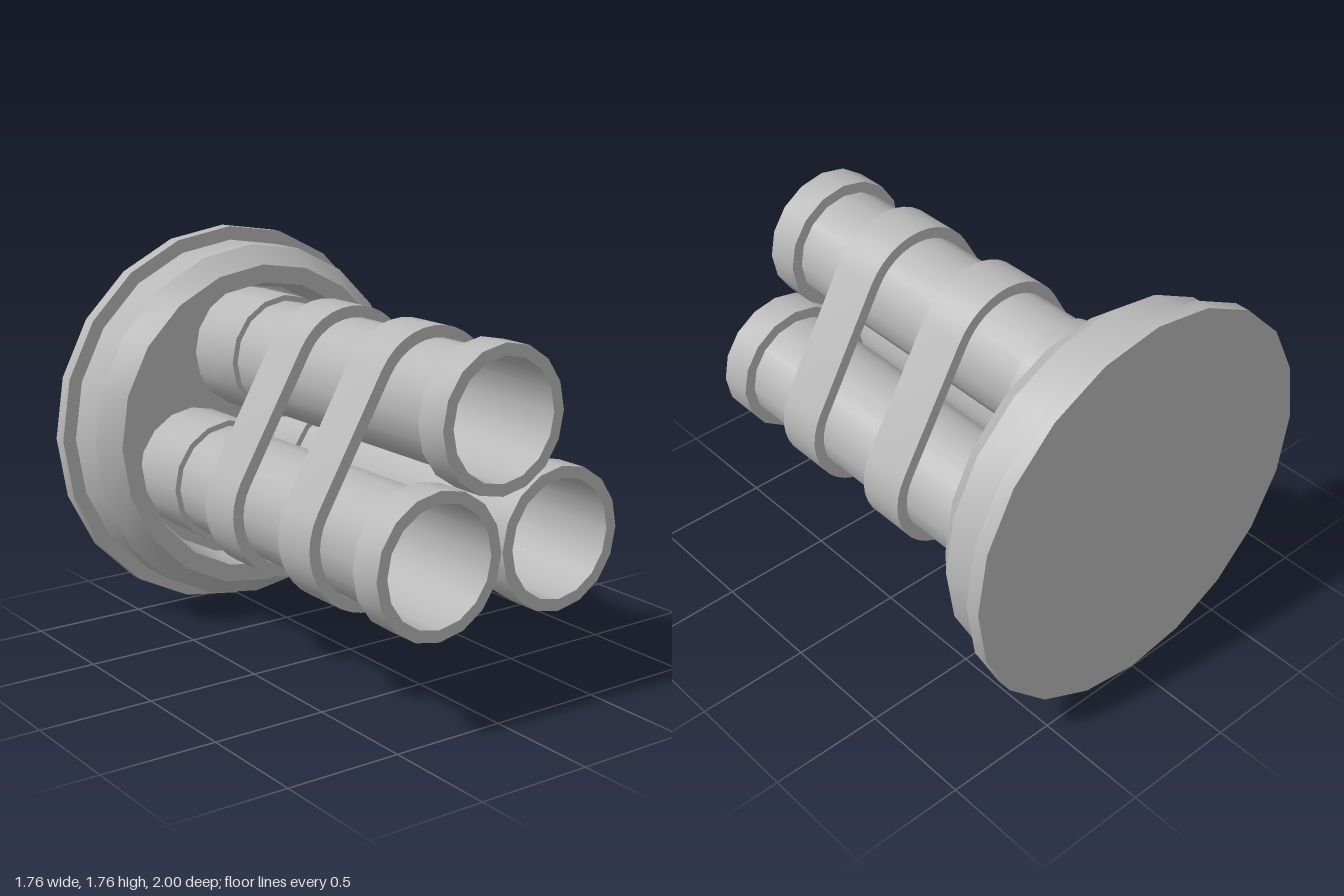
import * as THREE from 'three';
import { toCreasedNormals } from 'three/addons/utils/BufferGeometryUtils.js';

const CENTER_Y = 0.882;
const SPREAD = 0.35; // distance of each tube axis from the centre
const TUBE_R = 0.25;
const BAND_R = 0.3;

// Revolves [radius, z] points around the z axis, sharp across the profile
function turned(profile, sides) {
  const geo = new THREE.LatheGeometry(profile.map(([r, z]) => new THREE.Vector2(r, z)), sides);
  geo.rotateX(Math.PI / 2);
  return toCreasedNormals(geo, 0.5);
}

// Rounded triangle wrapped around three circles of radius r
function wrap(path, r) {
  for (let i = 0; i < 3; i++) {
    const a = Math.PI / 2 + (i * Math.PI * 2) / 3;
    path.absarc(Math.cos(a) * SPREAD, Math.sin(a) * SPREAD, r, a - Math.PI / 3, a + Math.PI / 3, false);
  }
  path.closePath();
  return path;
}

export function createModel() {
  const model = new THREE.Group();
  const grey = new THREE.MeshStandardMaterial({ color: 0xb8b8b8, side: THREE.DoubleSide });
  grey.name = 'metal grey';

  const add = (parent, geo, name, z = 0) => {
    const mesh = new THREE.Mesh(geo, grey);
    mesh.name = name;
    mesh.position.z = z;
    parent.add(mesh);
  };

  const body = new THREE.Group();
  body.name = 'body';
  body.position.y = CENTER_Y;
  model.add(body);

  // Flanged base with bevelled rim and recessed socket
  add(body, turned([
    [0, -1], [0.882, -1], [0.882, -0.935], [0.82, -0.935], [0.82, -0.75],
    [0.74, -0.657], [0.66, -0.657], [0.63, -0.8], [0, -0.8],
  ], 20), 'base');

  // Three open tubes with a muzzle ring and a root collar
  const tubeGeo = turned([[TUBE_R, -0.8], [TUBE_R, 1]], 16);
  const ringGeo = turned([[TUBE_R, 0.85], [BAND_R, 0.85], [BAND_R, 1], [TUBE_R, 1]], 16);
  const collarGeo = turned([[0.275, -0.8], [0.275, -0.49], [TUBE_R, -0.49]], 16);
  ['top', 'left', 'right'].forEach((side, i) => {
    const a = Math.PI / 2 - (i * Math.PI * 2) / 3;
    const barrel = new THREE.Group();
    barrel.name = side + 'Barrel';
    barrel.position.set(Math.cos(a) * SPREAD, Math.sin(a) * SPREAD, 0);
    add(barrel, tubeGeo, 'tube');
    add(barrel, ringGeo, 'muzzleRing');
    add(barrel, collarGeo, 'rootCollar');
    body.add(barrel);
  });

  // Two straps around all the tubes
  const strap = wrap(new THREE.Shape(), BAND_R);
  strap.holes.push(wrap(new THREE.Path(), TUBE_R));
  const strapGeo = toCreasedNormals(
    new THREE.ExtrudeGeometry(strap, { depth: 0.218, bevelEnabled: false, curveSegments: 6 }), 0.5);
  add(body, strapGeo, 'frontStrap', 0.351);
  add(body, strapGeo, 'rearStrap', -0.199);

  return model;
}
